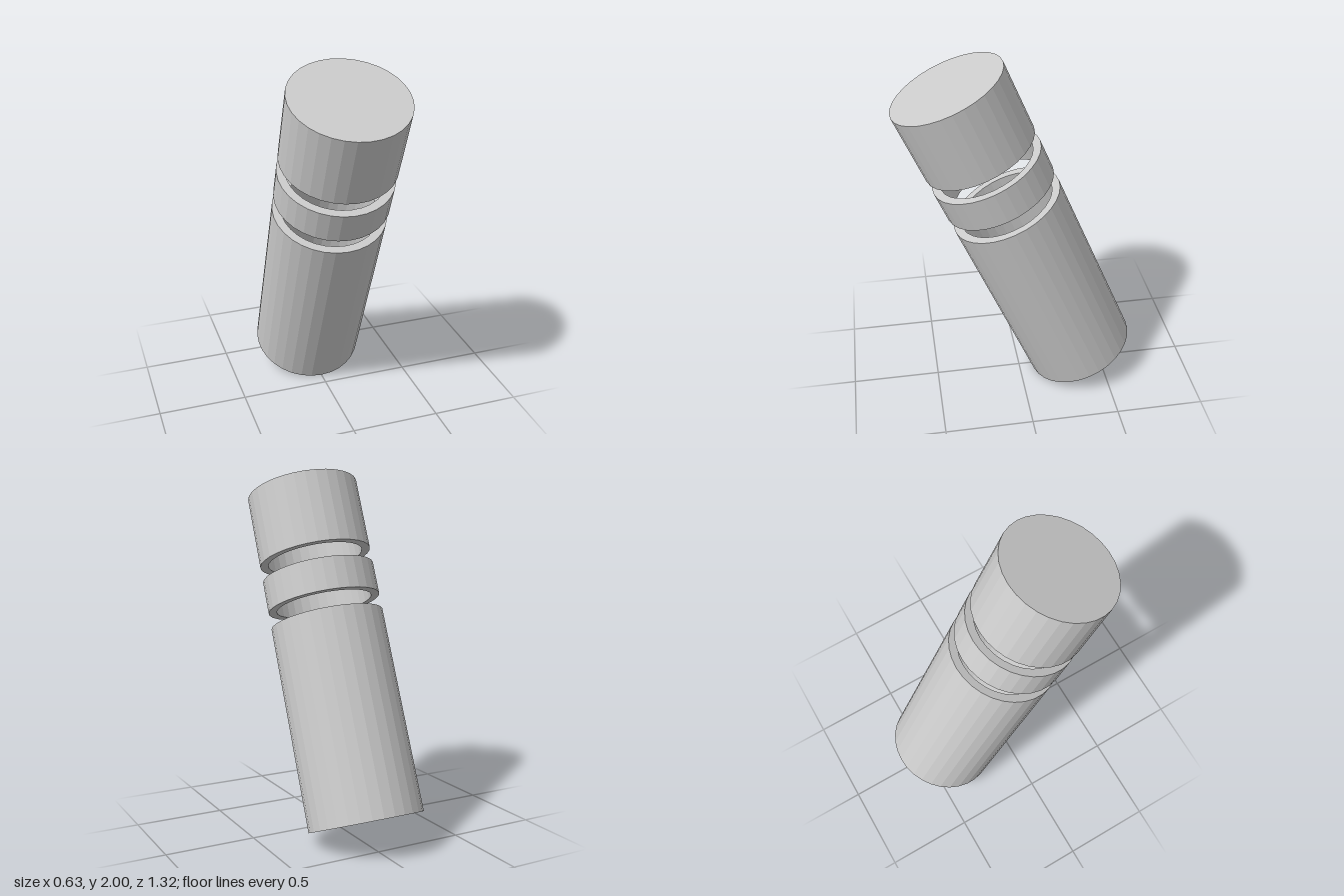
import * as THREE from 'three';

const OUTER = 0.316, INNER = 0.27, WALL = 0.046, SIDES = 32;
const LENGTH = 1.905;
const TILT = THREE.MathUtils.degToRad(22.9);

export function createModel() {
  const model = new THREE.Group();
  model.name = 'tiltedCanister';
  const material = new THREE.MeshStandardMaterial({ color: 0xcccccc, flatShading: true });

  // All parts share one axis, measured upward from the base
  const axis = new THREE.Group();
  axis.name = 'canisterAxis';
  axis.position.y = 1;
  axis.rotation.x = TILT;
  model.add(axis);

  function addTurned(name, profile) {
    const points = profile.map(([r, h]) => new THREE.Vector2(r, h - LENGTH / 2));
    const mesh = new THREE.Mesh(new THREE.LatheGeometry(points, SIDES), material);
    mesh.name = name;
    axis.add(mesh);
  }

  // Hollow body, open at the top
  addTurned('body', [
    [0, 0], [OUTER, 0], [OUTER, 1.135], [INNER, 1.135], [INNER, WALL], [0, WALL],
  ]);

  // Loose ring, open right through
  addTurned('middleRing', [
    [INNER, 1.227], [OUTER, 1.227], [OUTER, 1.408], [INNER, 1.408], [INNER, 1.227],
  ]);

  // Hollow lid, open at the bottom
  addTurned('lid', [
    [0, LENGTH - WALL], [INNER, LENGTH - WALL], [INNER, 1.498],
    [OUTER, 1.498], [OUTER, LENGTH], [0, LENGTH],
  ]);

  return model;
}
